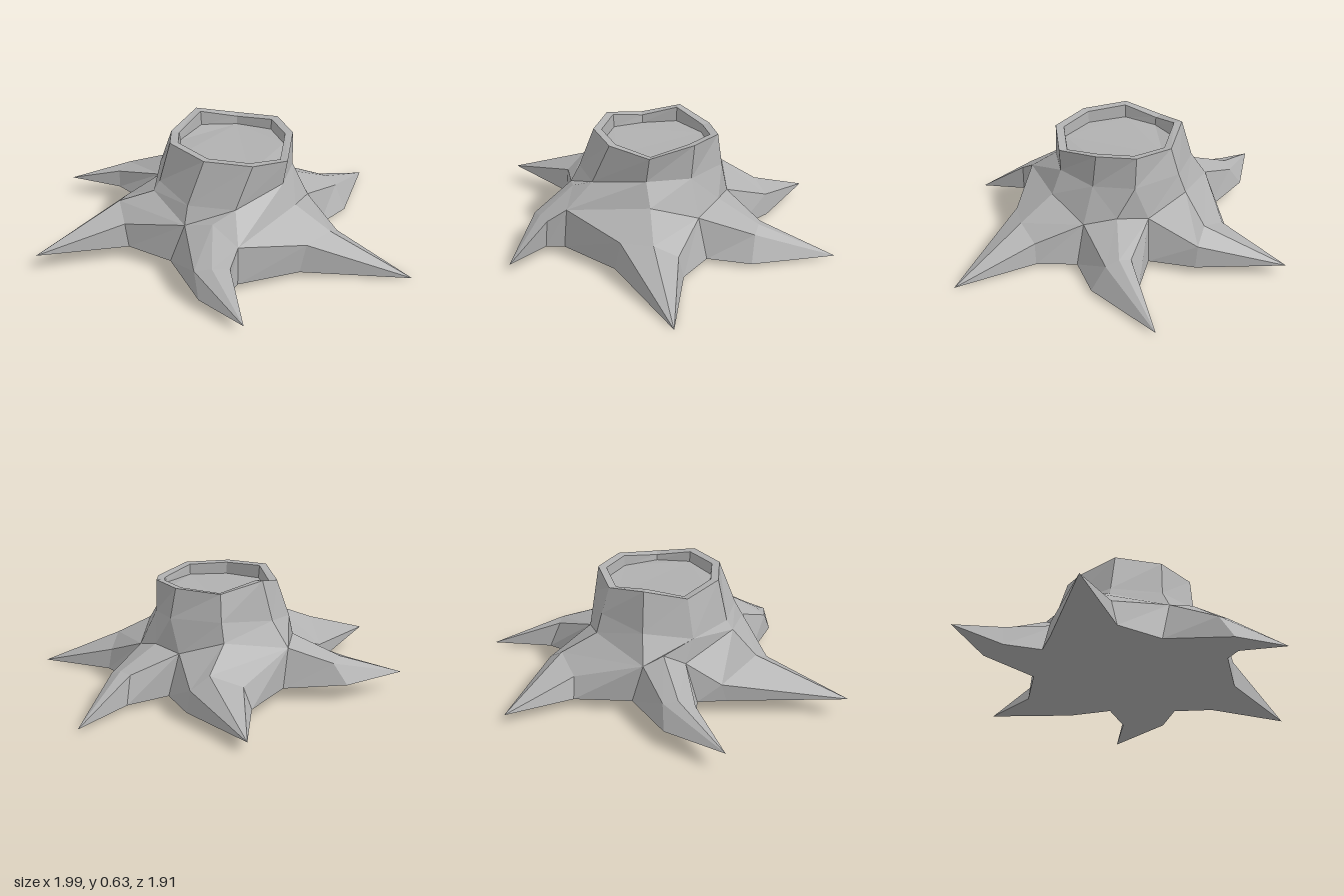
import * as THREE from 'three';

const TAU = Math.PI * 2;
const v = (x, y, z) => [x, y, z];
// Ground plane, slightly tilted along x
const ground = (x, z) => [x, Math.max(0, 0.053 - 0.053 * x), z];

// Each root, clockwise from the back: tip, ground sides, shoulders, ridge, crest and the valley before it
const ROOTS = [
  { tip: [-0.06, -0.96], g: [[-0.13, -0.59], [0.2, -0.56]], gv: [-0.33, -0.35], valley: v(-0.36, 0.28, -0.3),
    m: [v(-0.09, 0.17, -0.56), v(0.18, 0.16, -0.56)], ridge: v(0.08, 0.23, -0.54), crest: v(-0.01, 0.34, -0.37) },
  { tip: [0.74, -0.65], g: [[0.5, -0.4], [0.64, -0.2]], gv: [0.28, -0.32], valley: v(0.22, 0.26, -0.28),
    m: [v(0.48, 0.17, -0.34), v(0.58, 0.15, -0.25)], ridge: v(0.53, 0.18, -0.3), crest: v(0.34, 0.28, -0.16) },
  { tip: [0.99, 0.42], g: [[0.61, 0.18], [0.4, 0.47]], gv: [0.5, -0.01], valley: v(0.42, 0.23, 0),
    m: [v(0.59, 0.13, 0.2), v(0.43, 0.19, 0.45)], ridge: v(0.55, 0.2, 0.32), crest: v(0.36, 0.31, 0.25) },
  { tip: [0.15, 0.95], g: [[0.05, 0.72], [-0.09, 0.79]], gv: [0.09, 0.63], valley: v(0.09, 0.26, 0.61),
    m: [v(0.06, 0.2, 0.71), v(-0.12, 0.18, 0.72)], ridge: v(-0.03, 0.2, 0.72), crest: v(-0.05, 0.33, 0.52) },
  { tip: [-0.98, 0.57], g: [[-0.52, 0.4], [-0.62, 0.05]], gv: [-0.28, 0.49], valley: v(-0.2, 0.29, 0.48),
    m: [v(-0.54, 0.21, 0.38), v(-0.6, 0.18, 0.03)], ridge: v(-0.59, 0.28, 0.26), crest: v(-0.4, 0.35, 0.25) },
  { tip: [-1, -0.25], g: [[-0.7, -0.2], [-0.67, -0.38]], gv: [-0.54, -0.08], valley: v(-0.43, 0.26, -0.08),
    m: [v(-0.7, 0.19, -0.21), v(-0.6, 0.2, -0.34)], ridge: v(-0.65, 0.22, -0.28), crest: v(-0.4, 0.33, -0.2) },
];

// Nine-sided trunk rings, clockwise from the back
const COLLAR = [v(0, 0.44, -0.33), v(0.26, 0.44, -0.22), v(0.33, 0.42, 0), v(0.29, 0.43, 0.24), v(0.06, 0.38, 0.45),
  v(-0.19, 0.38, 0.43), v(-0.37, 0.4, 0.23), v(-0.41, 0.38, -0.02), v(-0.28, 0.42, -0.25)];
const RIM = [v(0, 0.58, -0.28), v(0.23, 0.6, -0.21), v(0.325, 0.6, -0.02), v(0.31, 0.56, 0.23), v(0.14, 0.6, 0.38),
  v(-0.11, 0.61, 0.37), v(-0.31, 0.62, 0.21), v(-0.34, 0.58, -0.01), v(-0.23, 0.63, -0.21)];

const quad = (t, a, b, c, d) => t.push(a, b, c, a, c, d);

// Closed band between two rings of equal count
function band(outer, inner) {
  const t = [];
  outer.forEach((o, i) => {
    const k = (i + 1) % outer.length;
    t.push(o, inner[i], outer[k], outer[k], inner[i], inner[k]);
  });
  return t;
}

// Closed band between rings of different counts, stepped by angle
function stitch(outer, inner) {
  const angle = (ring, i) => {
    const p = ring[i % ring.length];
    const a = (Math.atan2(p[0], 0.05 - p[2]) + 0.1 + TAU) % TAU;
    return a + (i >= ring.length ? TAU : 0);
  };
  const t = [];
  let i = 0, j = 0;
  while (i < outer.length || j < inner.length) {
    const o = outer[i % outer.length], n = inner[j % inner.length];
    const stepOuter = j >= inner.length || (i < outer.length && angle(outer, i + 1) <= angle(inner, j + 1));
    if (stepOuter) t.push(o, n, outer[++i % outer.length]);
    else t.push(o, n, inner[++j % inner.length]);
  }
  return t;
}

// Flat cap over an outline, facing up (1) or down (-1)
function cap(ring, facing) {
  const flat = ring.map((p) => new THREE.Vector2(p[0], p[2]));
  const t = [];
  for (const [a, b, c] of THREE.ShapeUtils.triangulateShape(flat, [])) {
    const cross = flat[b].clone().sub(flat[a]).cross(flat[c].clone().sub(flat[a]));
    if (-cross * facing > 0) t.push(ring[a], ring[b], ring[c]);
    else t.push(ring[a], ring[c], ring[b]);
  }
  return t;
}

export function createModel() {
  const group = new THREE.Group();
  group.name = 'treeStump';
  const wood = new THREE.MeshStandardMaterial({ color: 0xb0b0b0, flatShading: true });
  wood.name = 'grey wood';

  const add = (name, points) => {
    const geo = new THREE.BufferGeometry();
    geo.setAttribute('position', new THREE.Float32BufferAttribute(points.flat(), 3));
    geo.computeVertexNormals();
    const mesh = new THREE.Mesh(geo, wood);
    mesh.name = name;
    group.add(mesh);
  };

  // Roots: ridged top and steep sides down to the ground
  const outline = [], base = [];
  ROOTS.forEach((r, i) => {
    const next = ROOTS[(i + 1) % ROOTS.length];
    const tip = ground(...r.tip), [m1, m2] = r.m;
    const lower = [ground(...r.gv), ground(...r.g[0]), tip, ground(...r.g[1]), ground(...next.gv)];
    const upper = [r.valley, m1, tip, m2, next.valley];
    const t = [];
    quad(t, r.valley, r.crest, r.ridge, m1);
    quad(t, r.crest, next.valley, m2, r.ridge);
    t.push(m1, r.ridge, tip, r.ridge, m2, tip);
    t.push(lower[0], upper[0], lower[1], lower[1], upper[0], upper[1]);
    t.push(lower[1], upper[1], tip, tip, upper[3], lower[3]);
    t.push(lower[3], upper[3], lower[4], lower[4], upper[3], upper[4]);
    add('root' + (i + 1), t);
    outline.push(...lower.slice(0, 4));
    base.push(r.crest, next.valley);
  });
  add('underside', cap(outline, -1));

  // Trunk
  add('flare', stitch(base, COLLAR));
  add('trunk', band(COLLAR, RIM));

  // Bark rim around the sunken cut top
  const inner = RIM.map(([x, y, z]) => v(x * 0.87, y - 0.005, 0.05 + (z - 0.05) * 0.87));
  const floor = inner.map(([x, y, z]) => v(x * 0.98, 0.535 + (y - 0.59) * 0.3, 0.05 + (z - 0.05) * 0.98));
  add('barkRim', band(RIM, inner));
  add('rimInside', band(inner, floor));
  add('cutTop', cap(floor, 1));
  return group;
}
